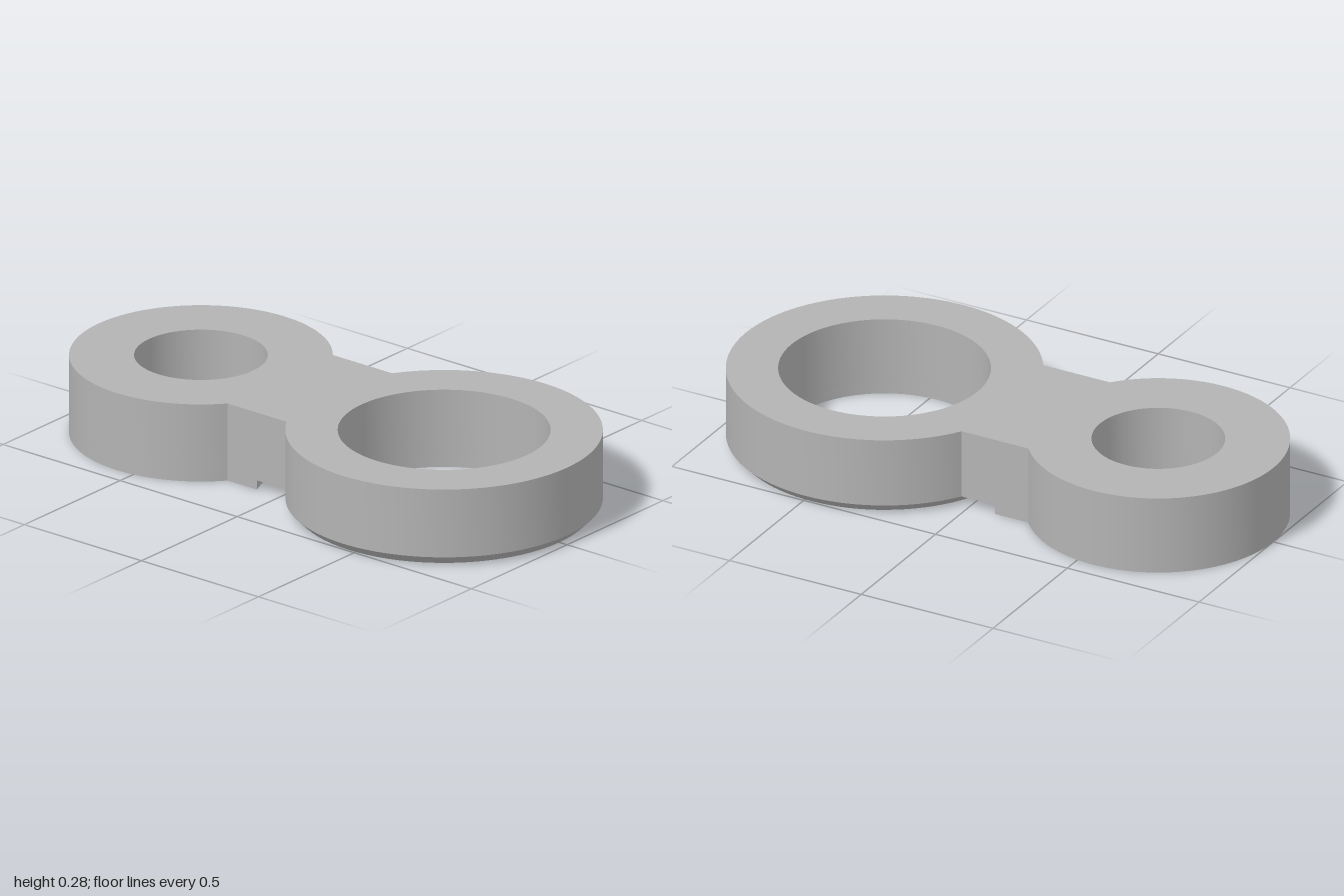
import * as THREE from 'three';
import { toCreasedNormals } from 'three/addons/utils/BufferGeometryUtils.js';

// Plan coordinates: shape x = model x, shape y = -z
const BIG = { y: -0.475, r: 0.525, hole: 0.352 };
const SMALL = { y: 0.564, r: 0.436, hole: 0.221 };
const NECK = 0.275;      // half width of the neck
const HEIGHT = 0.275;
const STEP = 0.033;      // chamfer height and recess depth
const CHAMFER = 0.033;
const RECESS = 0.637;    // radius of the clearance cut around the big ring
const { PI } = Math;

// Outer arc of the small ring, from the right neck corner round to the left one
function smallArc(shape) {
  const b = Math.asin(NECK / SMALL.r);
  shape.absarc(0, SMALL.y, SMALL.r, -PI / 2 + b, 1.5 * PI - b, false);
}

function addHole(shape, ring) {
  shape.holes.push(new THREE.Path().absarc(0, ring.y, ring.hole, 0, 2 * PI, true));
}

// Extrude a plan shape upward between two heights
function slab(shape, y0, y1) {
  const geo = new THREE.ExtrudeGeometry(shape, { depth: y1 - y0, bevelEnabled: false, curveSegments: 72 });
  geo.rotateX(-PI / 2).translate(0, y0, 0);
  return toCreasedNormals(geo, 0.5);
}

export function createModel() {
  const group = new THREE.Group();
  group.name = 'doubleRingLink';
  const metal = new THREE.MeshStandardMaterial({ color: 0xb3b3b3 });
  metal.name = 'plain grey';
  const add = (name, geo) => {
    const mesh = new THREE.Mesh(geo, metal);
    mesh.name = name;
    group.add(mesh);
  };

  // Main body: both rings joined by the neck
  const body = new THREE.Shape();
  smallArc(body);
  const a = Math.asin(NECK / BIG.r);
  body.absarc(0, BIG.y, BIG.r, PI / 2 + a, 2.5 * PI - a, false);
  body.closePath();
  addHole(body, SMALL);
  addHole(body, BIG);
  add('linkBody', slab(body, STEP, HEIGHT));

  // Foot below the small ring and neck, cut back by the round recess
  const foot = new THREE.Shape();
  smallArc(foot);
  const c = Math.asin(NECK / RECESS);
  foot.absarc(0, BIG.y, RECESS, PI / 2 + c, PI / 2 - c, true);
  foot.closePath();
  addHole(foot, SMALL);
  add('smallRingFoot', slab(foot, 0, STEP));

  // Chamfered lower edge of the big ring
  const profile = [
    [BIG.hole, STEP], [BIG.hole, 0], [BIG.r - CHAMFER, 0], [BIG.r, STEP],
  ].map(([r, y]) => new THREE.Vector2(r, y));
  const rim = toCreasedNormals(new THREE.LatheGeometry(profile, 96), 0.5);
  rim.translate(0, 0, -BIG.y);
  add('bigRingChamfer', rim);

  return group;
}
